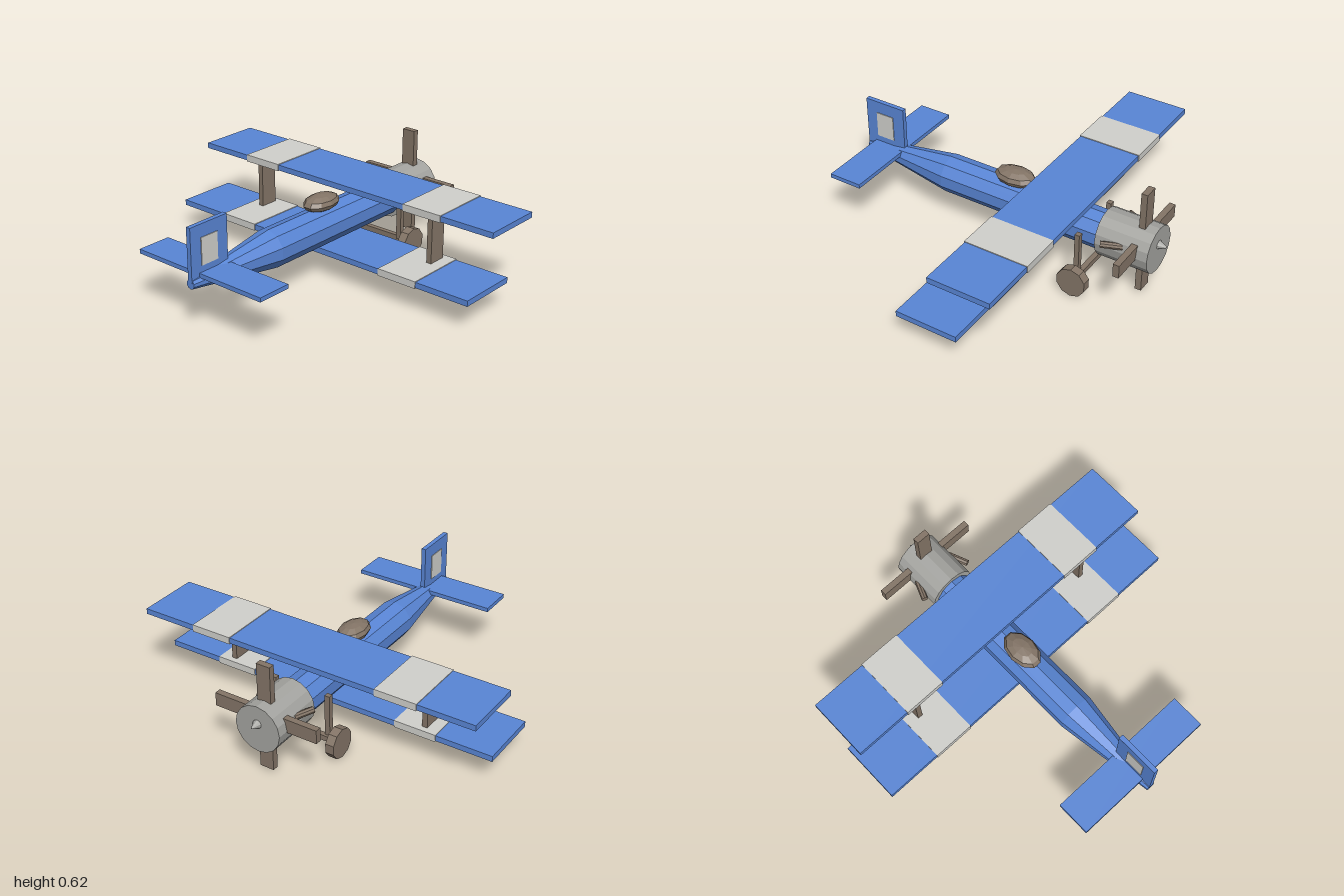
import * as THREE from 'three';

const paint = (name, color) => {
  const m = new THREE.MeshStandardMaterial({ color });
  m.name = name;
  return m;
};

export function createModel() {
  const plane = new THREE.Group();
  plane.name = 'biplane';
  const blue = paint('blue', 0x5986d6);
  const white = paint('offWhite', 0xd0d0cc);
  const grey = paint('cowlGrey', 0xa4a4a0);
  const brown = paint('brown', 0x847567);

  const add = (name, geometry, material) => {
    // Low-poly facets
    const mesh = new THREE.Mesh(geometry.index ? geometry.toNonIndexed() : geometry, material);
    mesh.geometry.computeVertexNormals();
    mesh.name = name;
    plane.add(mesh);
    return mesh;
  };
  // Box given by its minimum and maximum on each axis
  const box = (name, [x0, x1], [y0, y1], [z0, z1], material) =>
    add(name, new THREE.BoxGeometry(x1 - x0, y1 - y0, z1 - z0)
      .translate((x0 + x1) / 2, (y0 + y1) / 2, (z0 + z1) / 2), material);
  // Cylinder along z, from z0 (radius r0) to z1 (radius r1)
  const tube = (name, r0, r1, z0, z1, y, sides, material) =>
    add(name, new THREE.CylinderGeometry(r1, r0, z1 - z0, sides)
      .rotateX(Math.PI / 2).translate(0, y, (z0 + z1) / 2), material);
  const span = (s, a, b) => (s > 0 ? [a, b] : [-b, -a]);

  // Fuselage and nose
  tube('fuselage', 0.107, 0.107, -0.6, 0.38, 0.283, 10, blue);
  tube('tailCone', 0.107, 0.026, 0.38, 0.935, 0.283, 10, blue);
  tube('cowling', 0.132, 0.132, -0.895, -0.595, 0.287, 16, grey);
  tube('spinner', 0.003, 0.025, -0.94, -0.895, 0.317, 10, grey);
  box('propellerVertical', [-0.04, 0.04], [0.015, 0.62], [-0.832, -0.797], brown);
  box('propellerHorizontal', [-0.305, 0.305], [0.279, 0.355], [-0.832, -0.797], brown);

  // Cockpit
  add('cockpit', new THREE.SphereGeometry(1, 10, 6).scale(0.078, 0.046, 0.123)
    .translate(0, 0.416, -0.037), brown);

  // Wings with pale bands
  for (const [name, y, z] of [['upperWing', 0.46, -0.355], ['lowerWing', 0.16, -0.157]]) {
    box(name, [-1, 1], [y - 0.016, y + 0.016], [z - 0.178, z + 0.178], blue);
    for (const s of [-1, 1]) {
      box(name + 'Band', span(s, 0.44, 0.68), [y - 0.02, y + 0.02], [z - 0.182, z + 0.182], white);
    }
  }

  // Tail
  box('stabilizer', [-0.42, 0.42], [0.306, 0.33], [0.69, 0.885], blue);
  box('fin', [-0.013, 0.013], [0.29, 0.585], [0.687, 0.937], blue);

  for (const s of [-1, 1]) {
    box('finPanel', span(s, 0.012, 0.017), [0.366, 0.515], [0.758, 0.868], white);
    box('wingStrut', span(s, 0.585, 0.615), [0.17, 0.45], [-0.305, -0.2], brown);

    // Exhaust, splayed outward toward the rear
    const exhaust = add('exhaust',
      new THREE.CylinderGeometry(0.018, 0.018, 0.115, 8).rotateX(Math.PI / 2), brown);
    exhaust.position.set(s * 0.136, 0.317, -0.697);
    exhaust.rotation.y = s * 0.38;

    // Landing gear
    box('gearLeg', span(s, 0.15, 0.18), [0.085, 0.336], [-0.535, -0.507], brown);
    add('wheel', new THREE.CylinderGeometry(0.085, 0.085, 0.05, 10)
      .rotateY(Math.PI / 10).rotateZ(Math.PI / 2).translate(s * 0.23, 0.082, -0.533), brown);
  }
  box('axle', [-0.21, 0.21], [0.07, 0.1], [-0.55, -0.52], brown);

  return plane;
}
